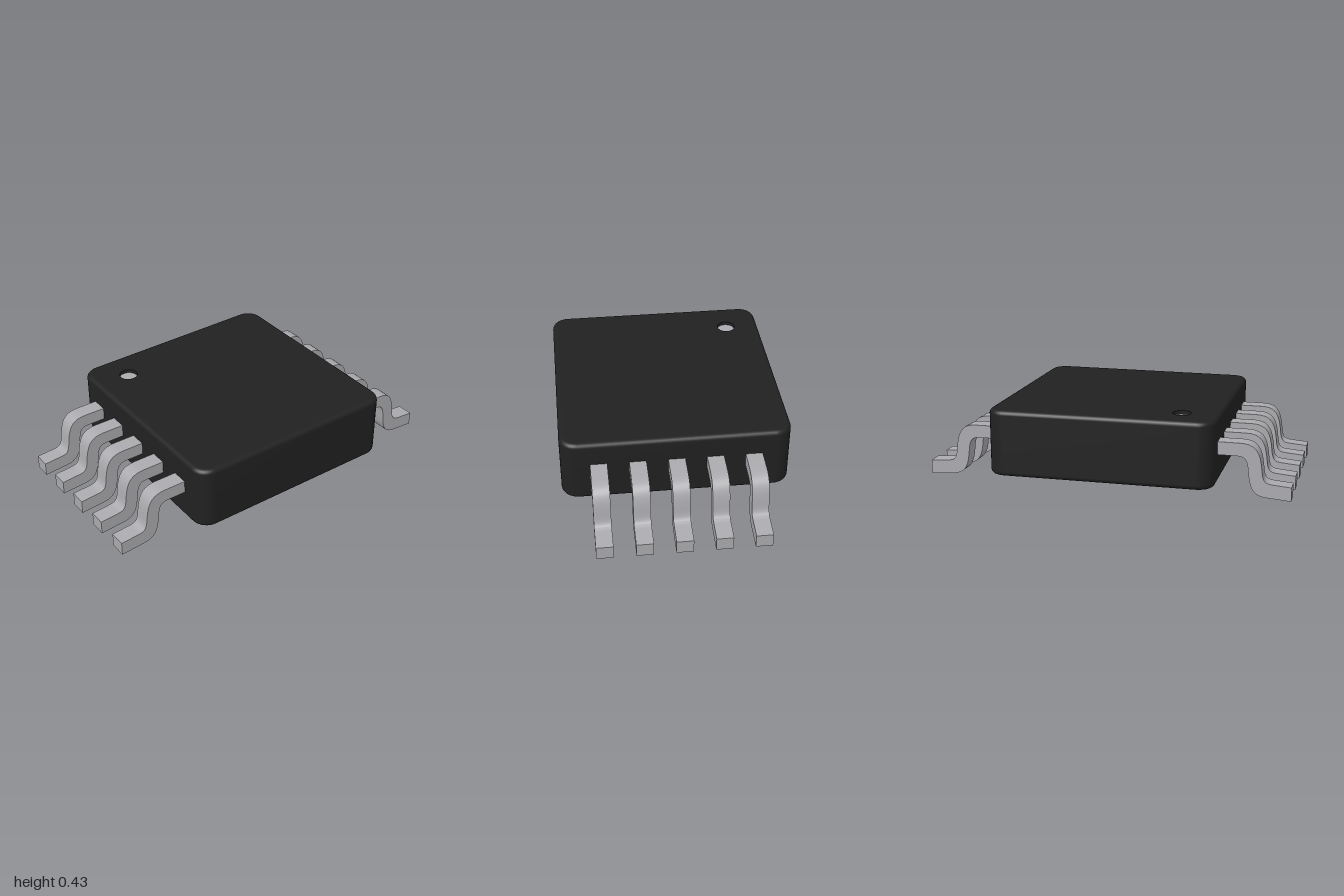
import * as THREE from 'three';
import { toCreasedNormals } from 'three/addons/utils/BufferGeometryUtils.js';

const HALF = 0.61, CORNER = 0.09, BEVEL = 0.025, BOTTOM = 0.065, TOP = 0.425;
const DOT = { x: -0.41, z: -0.41, r: 0.05, depth: 0.02 };

// Rounded square in plan, pulled in by an inset; the back edge is slightly skewed.
function outline(inset) {
  const points = [], r = CORNER - inset, c = HALF - CORNER, steps = 8;
  for (let q = 0; q < 4; q++) {
    const cx = q === 0 || q === 3 ? c : -c, cy = q < 2 ? c : -c;
    for (let i = 0; i <= steps; i++) {
      const a = (q + i / steps) * Math.PI / 2;
      const x = cx + r * Math.cos(a);
      let y = cy + r * Math.sin(a);
      if (y > 0) y *= 0.992 + 0.016 * x / HALF;
      points.push(new THREE.Vector2(x, y));
    }
  }
  return points;
}

// Side wall with rounded lower and upper edges, lofted from outlines.
function wallGeometry() {
  const rings = [], steps = 5;
  for (let i = 0; i <= steps; i++) {
    const a = i / steps * Math.PI / 2;
    rings.push([BEVEL * (1 - Math.sin(a)), BOTTOM + BEVEL * (1 - Math.cos(a))]);
  }
  for (let i = 0; i <= steps; i++) {
    const a = i / steps * Math.PI / 2;
    rings.push([BEVEL * (1 - Math.cos(a)), TOP - BEVEL * (1 - Math.sin(a))]);
  }
  const positions = [], index = [];
  let n = 0;
  rings.forEach(([inset, y], k) => {
    const loop = outline(inset);
    n = loop.length;
    loop.forEach((p, j) => {
      positions.push(p.x, y, -p.y);
      if (k === 0) return;
      const a = (k - 1) * n + j, b = (k - 1) * n + (j + 1) % n;
      index.push(a, b, b + n, a, b + n, a + n);
    });
  });
  const g = new THREE.BufferGeometry();
  g.setAttribute('position', new THREE.Float32BufferAttribute(positions, 3));
  g.setIndex(index);
  g.computeVertexNormals();
  return g;
}

// Gull-wing lead: side profile extruded across its width.
function leadGeometry() {
  const width = 0.09;
  const s = new THREE.Shape();
  s.moveTo(0.59, 0.225);
  s.lineTo(0.71, 0.225);
  s.bezierCurveTo(0.755, 0.225, 0.765, 0.205, 0.771, 0.165);
  s.bezierCurveTo(0.78, 0.08, 0.785, 0.015, 0.87, 0.01);
  s.lineTo(1, 0);
  s.lineTo(1, 0.075);
  s.lineTo(0.9, 0.083);
  s.bezierCurveTo(0.86, 0.085, 0.85, 0.1, 0.845, 0.15);
  s.bezierCurveTo(0.835, 0.24, 0.82, 0.295, 0.73, 0.295);
  s.lineTo(0.59, 0.295);
  const g = new THREE.ExtrudeGeometry(s, { depth: width, bevelEnabled: false, curveSegments: 10 });
  g.translate(0, 0, -width / 2);
  return toCreasedNormals(g, 0.6);
}

export function createModel() {
  const model = new THREE.Group();
  model.name = 'chipPackage';
  const plastic = new THREE.MeshStandardMaterial({ color: 0x212121 });
  plastic.name = 'black plastic';
  const metal = new THREE.MeshStandardMaterial({ color: 0xabaaae });
  metal.name = 'grey metal';

  const add = (name, geometry, material, parent = model) => {
    const mesh = new THREE.Mesh(geometry, material);
    mesh.name = name;
    parent.add(mesh);
    return mesh;
  };

  // Body: wall, top with a round opening, underside
  const body = new THREE.Group();
  body.name = 'body';
  model.add(body);
  add('bodyWall', wallGeometry(), plastic, body);

  const topShape = new THREE.Shape(outline(BEVEL));
  topShape.holes.push(new THREE.Path().absarc(DOT.x, -DOT.z, DOT.r, 0, Math.PI * 2, true));
  add('bodyTop', new THREE.ShapeGeometry(topShape, 16).rotateX(-Math.PI / 2), plastic, body).position.y = TOP;

  const underside = new THREE.Shape(outline(BEVEL).map(p => new THREE.Vector2(p.x, -p.y)));
  add('bodyUnderside', new THREE.ShapeGeometry(underside).rotateX(Math.PI / 2), plastic, body).position.y = BOTTOM;

  // Recessed first-pin marker
  const rim = [new THREE.Vector2(DOT.r, 0), new THREE.Vector2(DOT.r, -DOT.depth)];
  add('markerWall', new THREE.LatheGeometry(rim, 32), plastic).position.set(DOT.x, TOP, DOT.z);
  add('markerDot', new THREE.CircleGeometry(DOT.r, 32).rotateX(-Math.PI / 2), metal)
    .position.set(DOT.x, TOP - DOT.depth, DOT.z);

  // Thermal pad under the body
  add('thermalPad', new THREE.BoxGeometry(0.51, 0.006, 0.61), metal).position.y = BOTTOM;

  // Five leads on each side
  const lead = leadGeometry();
  for (const side of [1, -1]) {
    const row = new THREE.Group();
    row.name = side > 0 ? 'leftLeads' : 'rightLeads';
    if (side < 0) row.rotation.y = Math.PI;
    model.add(row);
    for (let i = -2; i <= 2; i++) add('lead', lead, metal, row).position.z = i * 0.205;
  }
  return model;
}
